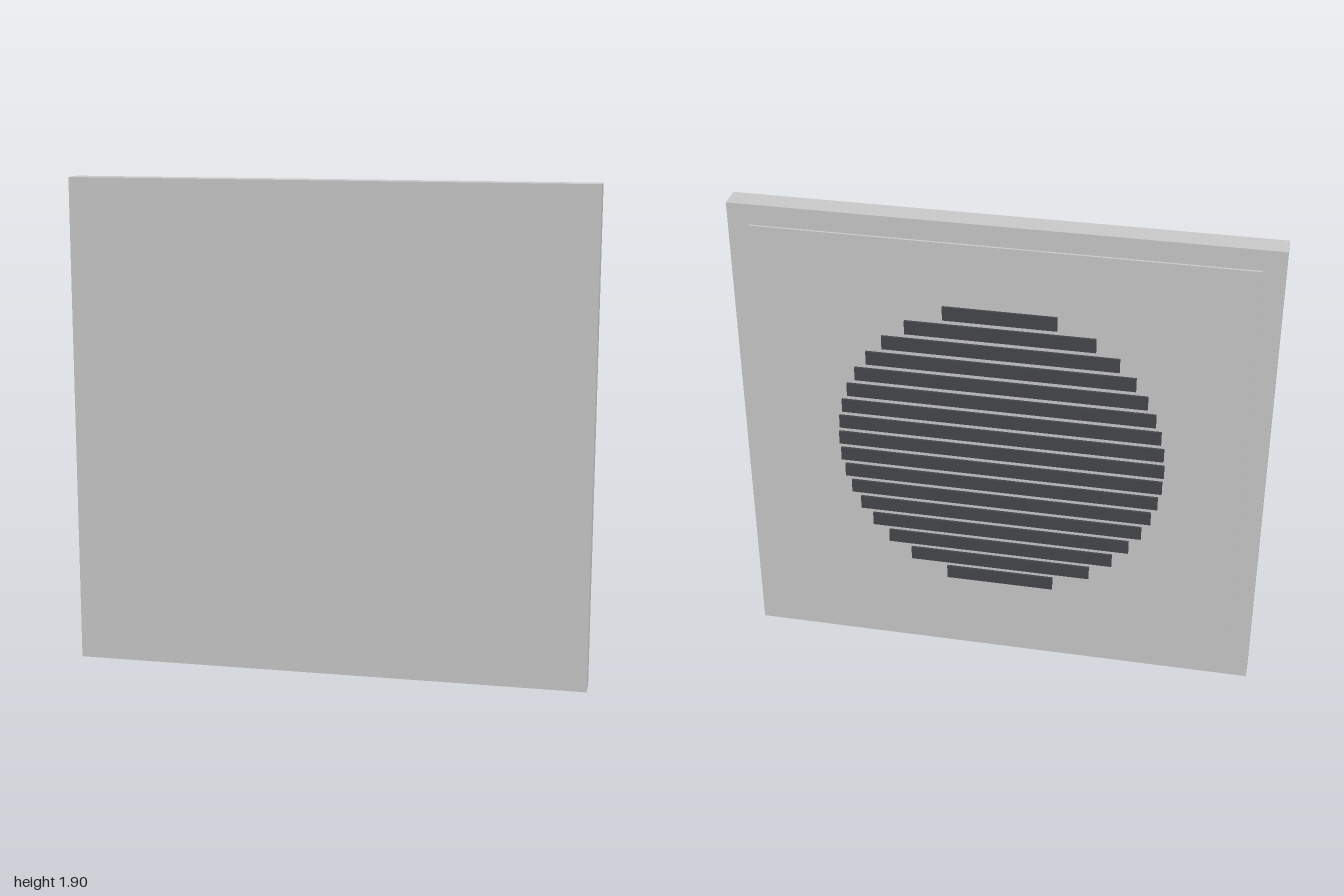
import * as THREE from 'three';

export function createModel() {
  const model = new THREE.Group();
  const bodyMat = new THREE.MeshStandardMaterial({ color: 0xcccccc });
  const slatMat = new THREE.MeshStandardMaterial({ color: 0x45484b });

  // Box centred on x, spanning zBack..zFront
  function box(name, width, height, y, zBack, zFront, material, parent) {
    const mesh = new THREE.Mesh(new THREE.BoxGeometry(width, height, zFront - zBack), material);
    mesh.position.set(0, y, (zBack + zFront) / 2);
    mesh.name = name;
    parent.add(mesh);
  }

  const midY = 0.95;
  box('slab', 2, 1.9, midY, -0.035, 0.053, bodyMat, model);
  box('backPanel', 1.84, 1.74, midY, -0.044, -0.035, bodyMat, model);

  // Round grille of horizontal slats, each cut to the circle's chord
  const grille = new THREE.Group();
  grille.name = 'grille';
  const radius = 0.625, pitch = radius / 8.5;
  for (let i = -8; i <= 8; i++) {
    const y = i * pitch;
    const width = 2 * Math.sqrt(radius * radius - y * y);
    box('slat', width, 0.055, midY + y, -0.053, -0.044, slatMat, grille);
  }
  model.add(grille);
  return model;
}
